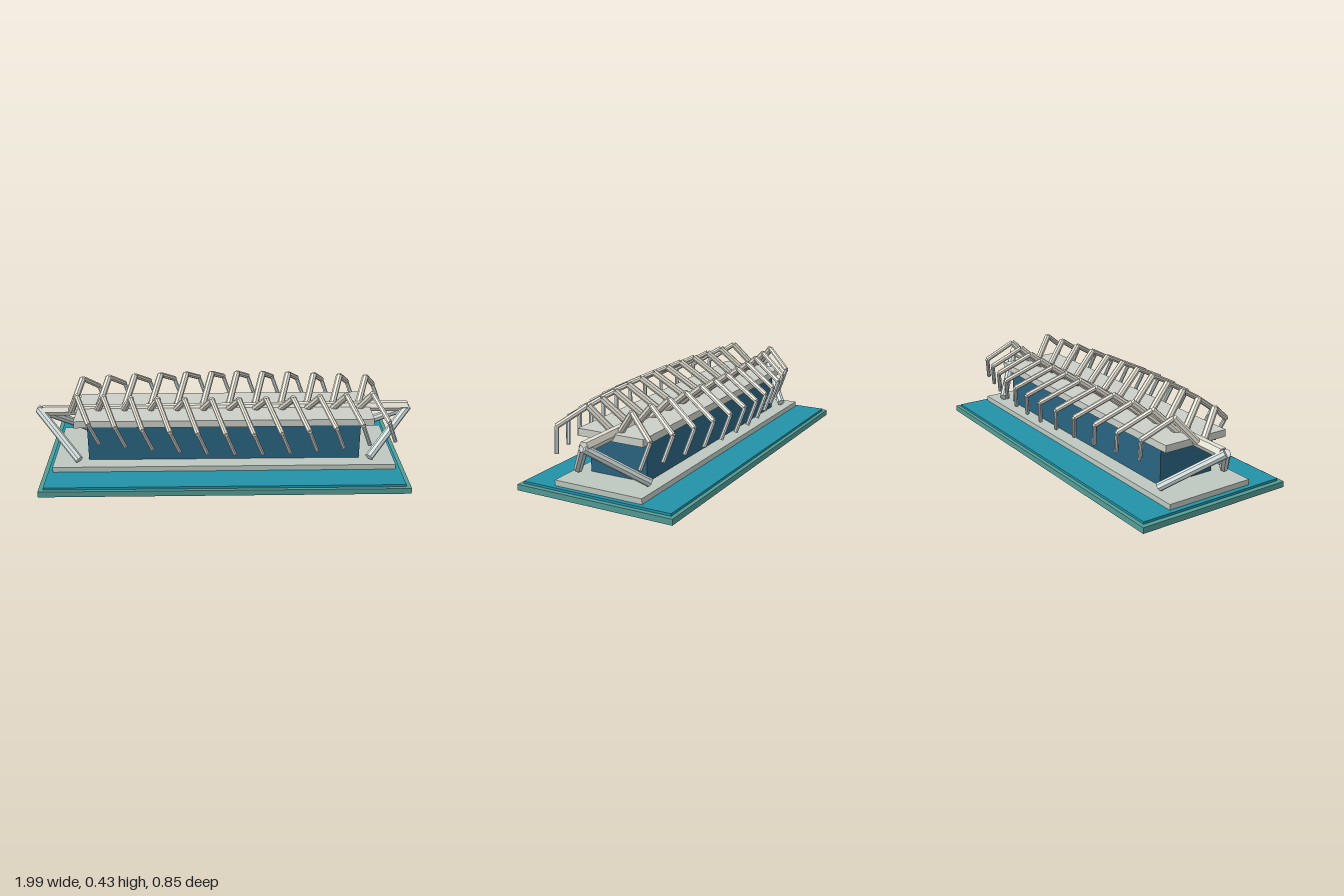
import * as THREE from 'three';

const material = (color) => new THREE.MeshStandardMaterial({ color, flatShading: true });
const teal = material(0x549c96);
const water = material(0x2292a8);
const stone = material(0xbec8c0);
const glass = material(0x2a6482);
const slab = material(0xccd0c8);
const bone = material(0xe4e1d4);
const paleBone = material(0xd2dedd);

export function createModel() {
  const model = new THREE.Group();
  model.name = 'ribbedPavilion';

  // Box standing between two heights
  function block(name, width, depth, y0, y1, mat) {
    const mesh = new THREE.Mesh(new THREE.BoxGeometry(width, y1 - y0, depth), mat);
    mesh.position.y = (y0 + y1) / 2;
    mesh.name = name;
    model.add(mesh);
  }

  // Straight round bar between two points
  function bar(name, a, b, radius, sides, mat, parent = model) {
    const from = new THREE.Vector3(...a);
    const to = new THREE.Vector3(...b);
    const axis = to.clone().sub(from);
    const mesh = new THREE.Mesh(new THREE.CylinderGeometry(radius, radius, axis.length(), sides), mat);
    mesh.position.copy(from).add(to).multiplyScalar(0.5);
    mesh.quaternion.setFromUnitVectors(new THREE.Vector3(0, 1, 0), axis.normalize());
    mesh.name = name;
    parent.add(mesh);
  }

  // Stepped base, hall and roof
  block('basePlate', 1.88, 0.85, 0, 0.03, teal);
  block('waterPool', 1.83, 0.81, 0.03, 0.042, water);
  block('plinth', 1.78, 0.48, 0.042, 0.07, stone);
  block('hall', 1.42, 0.314, 0.07, 0.265, glass);
  block('roofSlab', 1.55, 0.36, 0.265, 0.302, slab);

  // Ridge beam, rising slightly to the right end
  bar('spine', [-0.96, 0.286, 0], [0.98, 0.297, 0], 0.028, 6, bone);

  // Splayed struts at both ends
  for (const x of [-1, 1]) {
    for (const z of [-1, 1]) {
      bar('endStrut', [x * 0.98, 0.292, 0], [x * 0.755, 0.093, z * 0.2], 0.022, 8, paleBone);
    }
  }

  // Bent ribs, longest at mid length, all leaning to the right
  const count = 12;
  for (let i = 0; i < count; i++) {
    const x = -0.805 + i * 0.1385;
    const reach = 0.255 + 0.13 * Math.sin((Math.PI * i) / (count - 1));
    for (const s of [-1, 1]) {
      const rib = new THREE.Group();
      rib.name = s > 0 ? 'frontRib' : 'backRib';
      const root = [x, 0.295, s * 0.02];
      const knee = [x + 0.05, 0.417, s * reach * 0.48];
      const elbow = [x + 0.117, 0.318, s * reach];
      const tip = [x + 0.162, 0.198, s * (reach - 0.028)];
      bar('ribRoot', root, knee, 0.018, 8, bone, rib);
      bar('ribArm', knee, elbow, 0.014, 8, bone, rib);
      bar('ribTip', elbow, tip, 0.011, 8, paleBone, rib);
      model.add(rib);
    }
  }
  return model;
}
